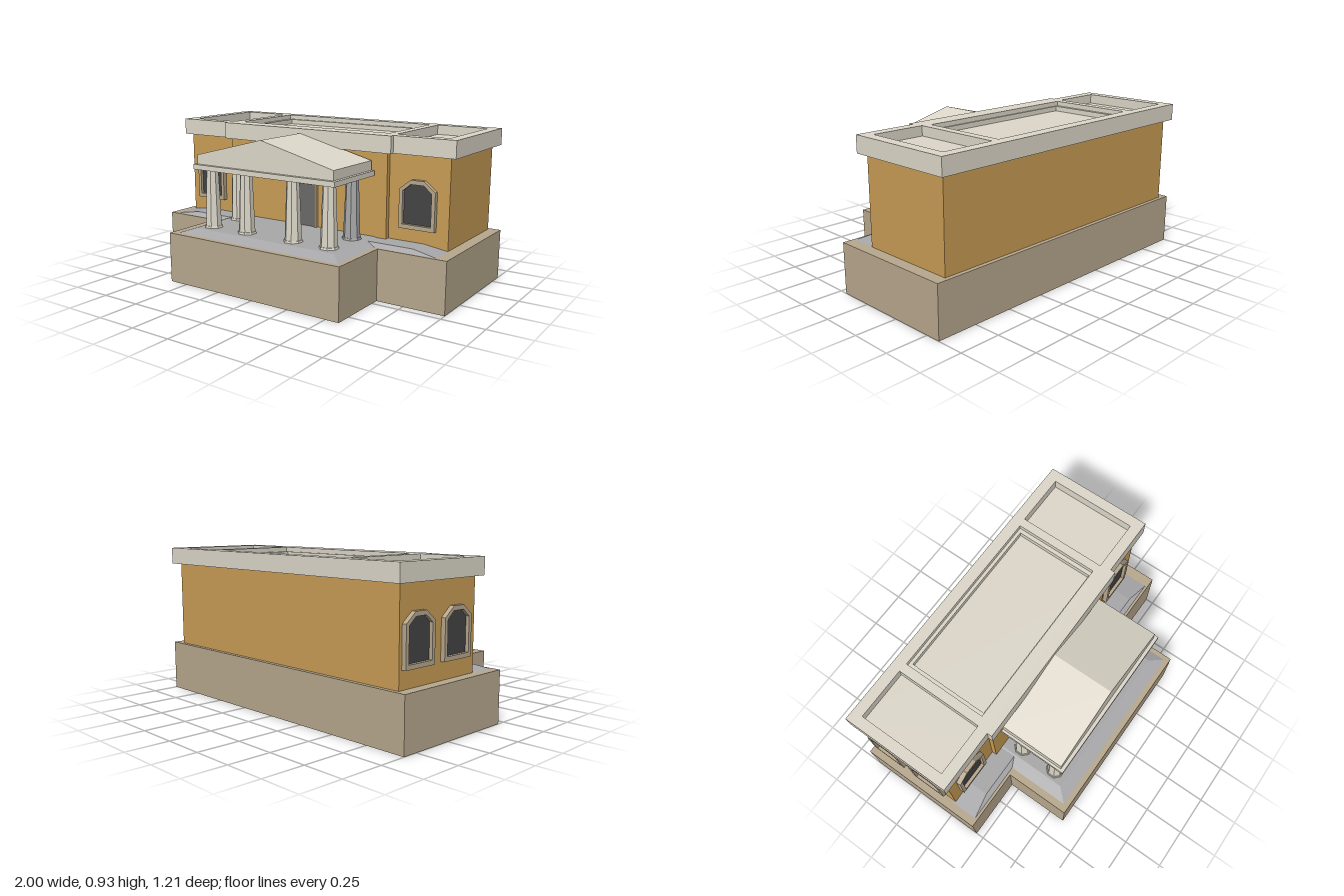
import * as THREE from 'three';

const paint = (color) => new THREE.MeshStandardMaterial({ color, flatShading: true });

export function createModel() {
  const model = new THREE.Group();
  const stone = paint(0xb8a88e), ochre = paint(0xc99d55), cream = paint(0xddd8ca);
  const grey = paint(0xa8a8aa), glass = paint(0x444444), doorGrey = paint(0x6a6a6a);

  const add = (name, geometry, material, parent = model) => {
    const mesh = new THREE.Mesh(geometry, material);
    mesh.name = name;
    parent.add(mesh);
    return mesh;
  };
  const box = (name, x0, x1, y0, y1, z0, z1, material) => {
    const g = new THREE.BoxGeometry(x1 - x0, y1 - y0, z1 - z0);
    g.translate((x0 + x1) / 2, (y0 + y1) / 2, (z0 + z1) / 2);
    return add(name, g, material);
  };
  const outline = (points) => points.map(([x, y]) => new THREE.Vector2(x, y));
  // Horizontal slab from a plan of [x, z] corners, with optional rectangular holes
  const slab = (name, plan, y0, y1, material, holes = []) => {
    const flip = ([x, z]) => [x, -z];
    const shape = new THREE.Shape(outline(plan.map(flip)));
    for (const [x0, x1, z0, z1] of holes) {
      shape.holes.push(new THREE.Path(outline([[x0, z0], [x0, z1], [x1, z1], [x1, z0]].map(flip))));
    }
    const g = new THREE.ExtrudeGeometry(shape, { depth: y1 - y0, bevelEnabled: false });
    g.rotateX(-Math.PI / 2);
    g.translate(0, y0, 0);
    return add(name, g, material);
  };
  // T-shaped plan: wide rectangle with a projecting centre
  const tPlan = (x0, x1, z0, z1, c0, c1, z2) =>
    [[x0, z0], [x0, z1], [c0, z1], [c0, z2], [c1, z2], [c1, z1], [x1, z1], [x1, z0]];

  // Foundation and walls
  slab('foundation', tPlan(-1, 1, -0.59, 0.2, -0.62, 0.585, 0.6), 0, 0.305, stone);
  slab('walls', tPlan(-0.94, 0.93, -0.565, 0.03, -0.57, 0.56, 0.06), 0.305, 0.83, ochre);

  // Roof cornice with sunken panels, the middle one stepped
  const cornice = tPlan(-0.975, 0.97, -0.605, 0.065, -0.6, 0.597, 0.095);
  const wings = [[-0.912, -0.595, -0.54, 0], [0.583, 0.905, -0.54, 0]];
  slab('corniceBase', cornice, 0.825, 0.867, cream);
  slab('corniceLowerRim', cornice, 0.867, 0.897, cream, [...wings, [-0.515, 0.505, -0.515, -0.025]]);
  slab('corniceUpperRim', cornice, 0.897, 0.925, cream, [...wings, [-0.54, 0.53, -0.535, -0.015]]);

  // Terrace floors with sloping edges: bottom and top rectangles [x0, x1, z0, z1]
  const terrace = (name, bottom, top, y0, y1) => {
    const g = new THREE.BoxGeometry(1, 1, 1);
    const p = g.attributes.position;
    for (let i = 0; i < p.count; i++) {
      const r = p.getY(i) > 0 ? top : bottom;
      p.setXYZ(i, p.getX(i) < 0 ? r[0] : r[1], p.getY(i) > 0 ? y1 : y0, p.getZ(i) < 0 ? r[2] : r[3]);
    }
    g.computeVertexNormals();
    return add(name, g, grey);
  };
  terrace('wingTerrace', [-0.96, 0.94, 0.02, 0.185], [-0.8, 0.78, 0.02, 0.155], 0.304, 0.326);
  terrace('porchTerrace', [-0.58, 0.56, 0.03, 0.57], [-0.505, 0.485, 0.03, 0.49], 0.304, 0.33);

  // Tapered columns: four in front, two behind
  const column = (x, z, material) => {
    const group = new THREE.Group();
    group.name = 'column';
    group.position.set(x, 0, z);
    const prism = (name, top, bottom, y0, y1) => {
      const k = 1 / Math.cos(Math.PI / 8);
      const g = new THREE.CylinderGeometry(top * k, bottom * k, y1 - y0, 8);
      g.rotateY(Math.PI / 8);
      g.translate(0, (y0 + y1) / 2, 0);
      add(name, g, material, group);
    };
    prism('columnFoot', 0.05, 0.053, 0.328, 0.342);
    prism('columnShaft', 0.034, 0.046, 0.342, 0.69);
    model.add(group);
  };
  for (const x of [-0.436, -0.176, 0.158, 0.398]) column(x, 0.407, cream);
  column(-0.436, 0.169, cream);
  column(0.398, 0.169, grey);

  // Porch roof
  box('architrave', -0.507, 0.487, 0.69, 0.72, 0.077, 0.495, cream);
  const gable = new THREE.Shape(outline(
    [[-0.492, 0.718], [0.467, 0.718], [0.467, 0.775], [-0.015, 0.897], [-0.492, 0.775]]));
  const roof = new THREE.ExtrudeGeometry(gable, { depth: 0.397, bevelEnabled: false });
  roof.translate(0, 0, 0.077);
  add('pedimentRoof', roof, cream);

  // Windows with clipped upper corners
  const arch = (w, bottom, spring, top, flat) =>
    outline([[-w, bottom], [w, bottom], [w, spring], [flat, top], [-flat, top], [-w, spring]]);
  const makeWindow = (x, z, turn) => {
    const group = new THREE.Group();
    group.name = 'window';
    const frame = new THREE.Shape(arch(0.11, 0.405, 0.63, 0.685, 0.04));
    const opening = arch(0.088, 0.43, 0.62, 0.66, 0.04);
    frame.holes.push(new THREE.Path(opening.slice().reverse()));
    add('windowFrame', new THREE.ExtrudeGeometry(frame, { depth: 0.028, bevelEnabled: false }), stone, group);
    const pane = add('windowPane', new THREE.ShapeGeometry(new THREE.Shape(opening)), glass, group);
    pane.position.z = 0.008;
    group.position.set(x, 0, z);
    group.rotation.y = turn;
    model.add(group);
  };
  for (const x of [-0.767, 0.746]) makeWindow(x, 0.03, 0);
  for (const z of [-0.435, -0.137]) makeWindow(-0.938, z, -Math.PI / 2);

  // Door and its surround
  box('doorLeftJamb', 0.078, 0.093, 0.325, 0.605, 0.055, 0.08, stone);
  box('doorRightJamb', -0.09, -0.075, 0.325, 0.605, 0.055, 0.08, stone);
  box('doorLintel', -0.075, 0.078, 0.59, 0.605, 0.055, 0.08, stone);
  box('door', -0.075, 0.078, 0.325, 0.59, 0.055, 0.067, doorGrey);

  return model;
}
